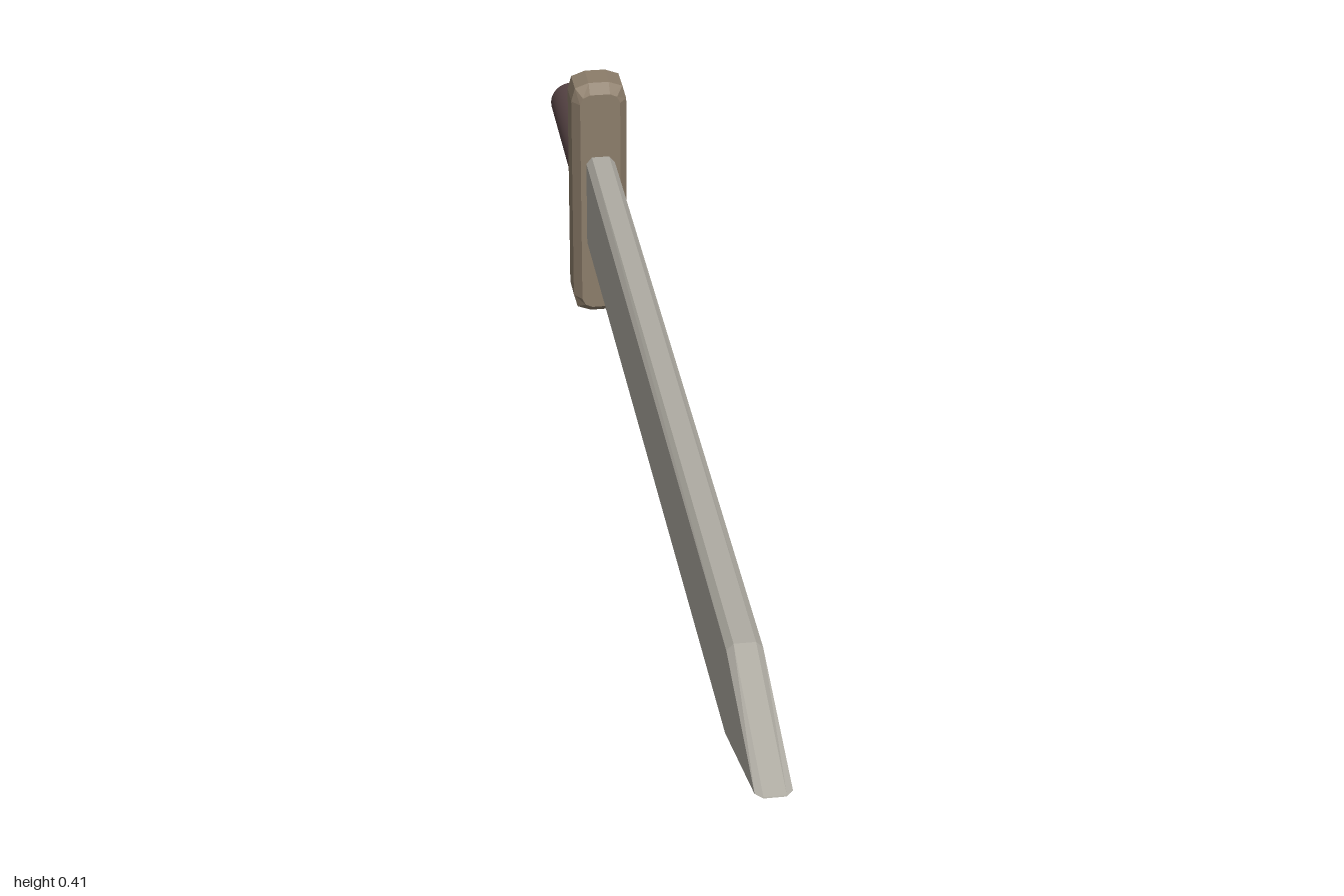
import * as THREE from 'three';

const MID = 0.203; // height of the sword's axis

// Mirror the points of one quarter outline into a full anticlockwise ring
function ring(quarter, z) {
  const back = [...quarter].reverse();
  return [
    ...quarter.map(([x, y]) => [x, y]),
    ...back.map(([x, y]) => [-x, y]),
    ...quarter.map(([x, y]) => [-x, -y]),
    ...back.map(([x, y]) => [x, -y]),
  ].map(([x, y]) => new THREE.Vector3(x, y, typeof z === 'function' ? z(x) : z));
}

// Skin rings from low z to high z, with flat caps at both ends
function loft(rings) {
  const pos = [];
  const tri = (...pts) => pts.forEach((p) => pos.push(p.x, p.y, p.z));
  for (let r = 0; r < rings.length - 1; r++) {
    const a = rings[r], b = rings[r + 1];
    a.forEach((p, i) => {
      const j = (i + 1) % a.length;
      tri(p, a[j], b[j]);
      tri(p, b[j], b[i]);
    });
  }
  const first = rings[0], last = rings[rings.length - 1];
  for (let i = 1; i < first.length - 1; i++) {
    tri(first[0], first[i + 1], first[i]);
    tri(last[0], last[i], last[i + 1]);
  }
  const geo = new THREE.BufferGeometry();
  geo.setAttribute('position', new THREE.Float32BufferAttribute(pos, 3));
  geo.computeVertexNormals();
  return geo;
}

export function createModel() {
  const material = (name, color, flatShading) => {
    const m = new THREE.MeshStandardMaterial({ color, flatShading });
    m.name = name;
    return m;
  };
  const steel = material('steel', 0xaeaba2, true);
  const bronze = material('bronze', 0x8c7d6a, true);
  const leather = material('leather', 0x574445, false);

  const group = new THREE.Group();
  group.name = 'sword';
  const add = (name, geo, mat) => {
    const mesh = new THREE.Mesh(geo, mat);
    mesh.name = name;
    mesh.position.y = MID;
    group.add(mesh);
    return mesh;
  };

  // Blade: bevelled section, tapering slightly, then closing to a flat tip
  const section = (h, bevel, z) => ring([[0.023, h - bevel], [0.014, h]], z);
  add('blade', loft([
    section(0.081, 0.011, -0.61),
    section(0.071, 0.009, 0.78),
    section(0.001, 0.0005, (x) => (Math.abs(x) > 0.02 ? 0.99 : 1)),
  ]), steel);

  // Guard: upright bar with cut corners and chamfered faces
  const outer = [[0.044, 0.173], [0.038, 0.195], [0.016, 0.203]];
  const inner = [[0.032, 0.173], [0.027, 0.184], [0.016, 0.189]];
  add('guard', loft([
    ring(inner, -0.685),
    ring(outer, -0.668),
    ring(outer, -0.619),
    ring(inner, -0.602),
  ]), bronze);

  // Grip: plain round handle
  const grip = new THREE.CylinderGeometry(0.035, 0.035, 0.33, 32);
  grip.rotateX(Math.PI / 2);
  add('grip', grip, leather).position.z = -0.835;

  return group;
}
